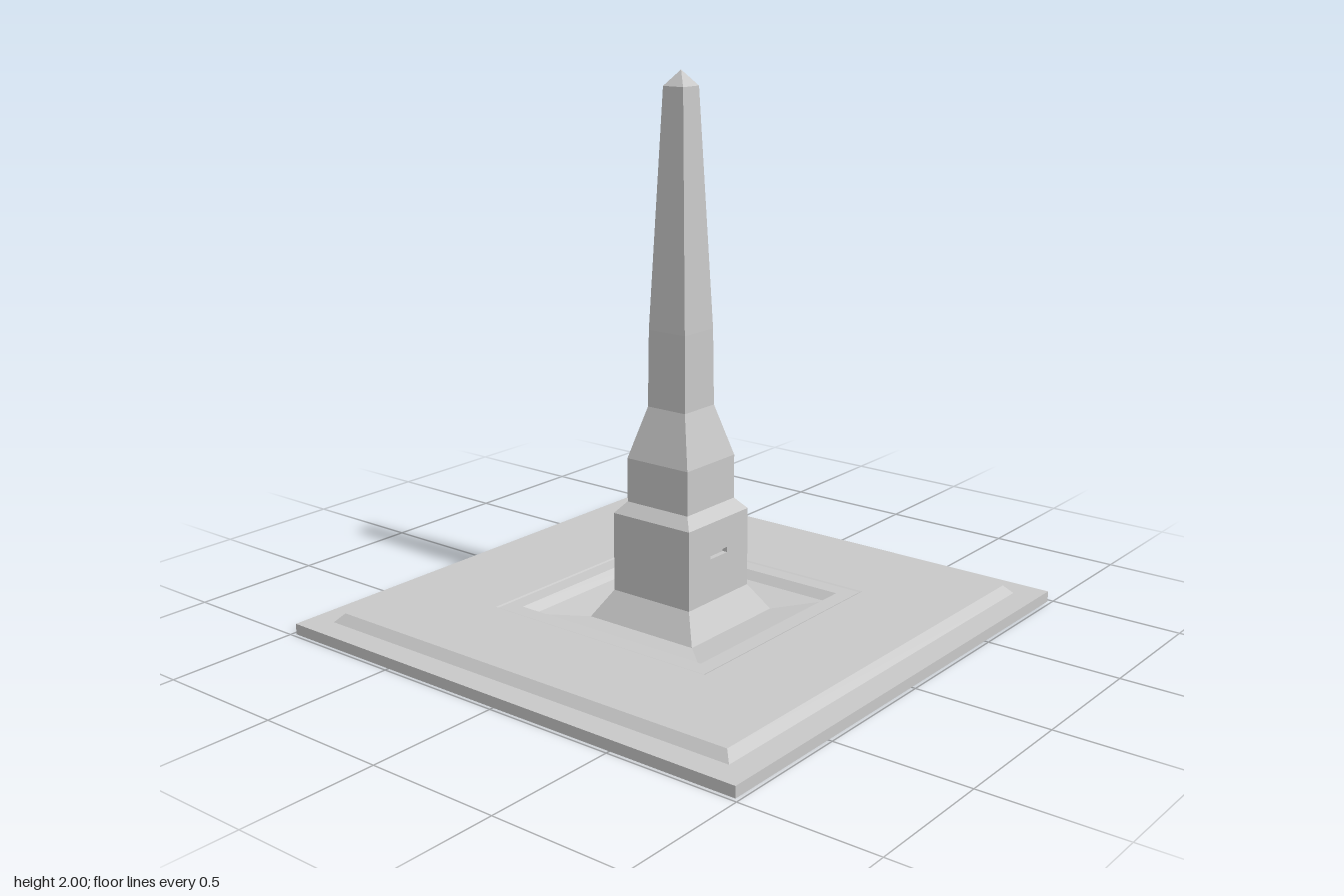
import * as THREE from 'three';

const stone = new THREE.MeshStandardMaterial({ color: 0xc8c8c8 });
stone.name = 'pale stone';

// Square stack of flat faces from [half width, height] pairs, bottom to top.
function squareLoft(name, profile) {
  const points = profile.map(([half, y]) => new THREE.Vector2(half * Math.SQRT2, y));
  const geometry = new THREE.LatheGeometry(points, 4, Math.PI / 4).toNonIndexed();
  geometry.computeVertexNormals();
  const mesh = new THREE.Mesh(geometry, stone);
  mesh.name = name;
  return mesh;
}

// Square-cut block with a narrow recessed slot in its +x face.
function slottedBlock(half, bottom, top) {
  const group = new THREE.Group();
  group.name = 'pedestalBlock';
  const depth = 0.02;
  const height = top - bottom;

  const core = new THREE.Mesh(new THREE.BoxGeometry(2 * half - depth, height, 2 * half), stone);
  core.name = 'blockCore';
  core.position.set(-depth / 2, bottom + height / 2, 0);

  const rect = (w, y0, y1) => [[-w, y0], [w, y0], [w, y1], [-w, y1]].map(([x, y]) => new THREE.Vector2(x, y));
  const outline = new THREE.Shape(rect(half, bottom, top));
  outline.holes.push(new THREE.Path(rect(0.05, 0.28, 0.3)));
  const face = new THREE.ExtrudeGeometry(outline, { depth, bevelEnabled: false });
  face.rotateY(Math.PI / 2);
  const slotFace = new THREE.Mesh(face, stone);
  slotFace.name = 'slottedFace';
  slotFace.position.x = half - depth;

  group.add(core, slotFace);
  return group;
}

export function createModel() {
  const model = new THREE.Group();
  model.name = 'obelisk';

  // Stepped plaza with a shallow lip, a sunken well and a gently dished floor
  model.add(squareLoft('plaza', [
    [0, 0], [0.985, 0], [0.985, 0.04], [0.89, 0.04], [0.86, 0.072],
    [0.48, 0.072], [0.472, 0.069], [0.41, 0.069], [0.38, 0.04], [0.235, 0.02],
  ]));

  // Flared foot rising from the well
  model.add(squareLoft('pedestalFoot', [[0.235, 0.02], [0.173, 0.12]]));
  model.add(slottedBlock(0.173, 0.12, 0.415));

  // Shoulder, upper block and tapered neck
  model.add(squareLoft('pedestalTop', [
    [0.173, 0.415], [0.137, 0.457], [0.137, 0.62], [0.084, 0.81],
  ]));

  // Tapering shaft and pointed cap
  model.add(squareLoft('shaft', [[0.084, 0.81], [0.081, 1.09], [0.044, 1.945]]));
  model.add(squareLoft('cap', [[0.044, 1.945], [0, 2]]));

  return model;
}
